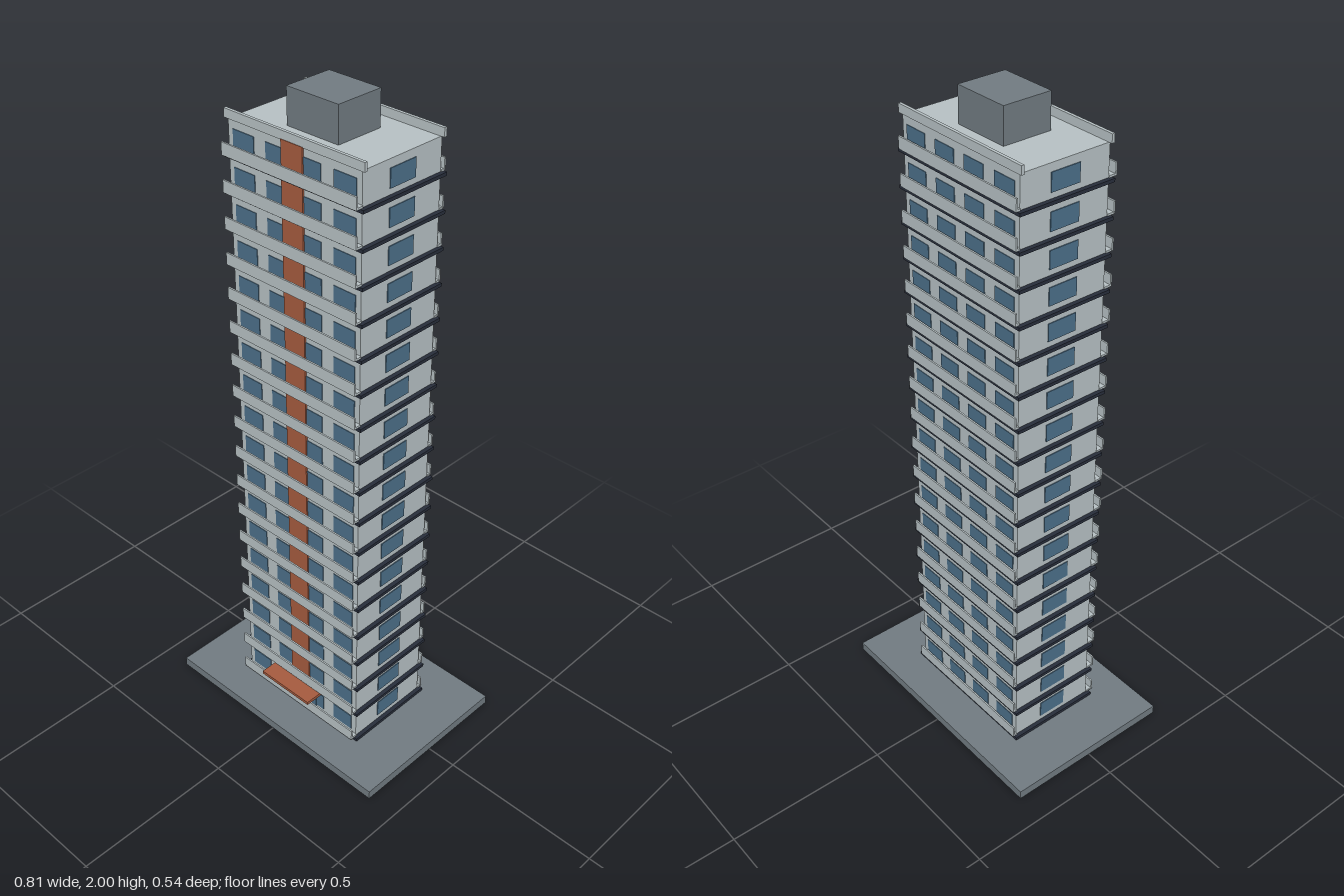
import * as THREE from 'three';

const paint = (name, color) => {
  const m = new THREE.MeshStandardMaterial({ color });
  m.name = name;
  return m;
};

export function createModel() {
  const wall = paint('pale concrete', 0xb5bfc2);
  const stone = paint('slate grey', 0x707a80);
  const dark = paint('dark band', 0x272d3a);
  const glass = paint('blue glass', 0x4b6e88);
  const rust = paint('rust orange', 0xa45a3e);

  const tower = new THREE.Group();
  tower.name = 'tower';

  // Box given by its minimum and maximum on each axis
  const box = (parent, name, mat, [x0, x1], [y0, y1], [z0, z1]) => {
    const mesh = new THREE.Mesh(new THREE.BoxGeometry(x1 - x0, y1 - y0, z1 - z0), mat);
    mesh.position.set((x0 + x1) / 2, (y0 + y1) / 2, (z0 + z1) / 2);
    mesh.name = name;
    parent.add(mesh);
    return mesh;
  };
  const span = (centre, size) => [centre - size / 2, centre + size / 2];

  const floors = 18, ground = 0.028, roof = 1.897;
  const storey = (roof - ground) / floors;
  const halfW = 0.23, halfD = 0.142;

  // Plinth, main block and roof house
  box(tower, 'plinth', stone, [-0.406, 0.406], [0, ground], [-0.271, 0.271]);
  box(tower, 'mainBlock', wall, [-halfW, halfW], [ground, roof], [-halfD, halfD]);
  box(tower, 'roofHouse', stone, [-0.088, 0.088], [roof, 2], [-0.075, 0.075]);

  // One storey: dark band, balconies front and back, windows all round
  for (let i = 0; i < floors; i++) {
    const y = ground + i * storey;
    const floor = new THREE.Group();
    floor.name = `storey${i + 1}`;
    tower.add(floor);

    box(floor, 'floorBand', dark, [-0.243, 0.243], [y, y + 0.01], [-0.152, 0.152]);

    for (const side of [1, -1]) {
      const outer = side > 0 ? 0.166 : 0.156;
      const along = (a, b) => (side > 0 ? [a, b] : [-b, -a]);
      box(floor, 'balconyFloor', wall, [-0.233, 0.233], [y + 0.01, y + 0.016], along(halfD, outer));
      box(floor, 'balconyRail', wall, [-0.234, 0.234], [y + 0.012, y + 0.046], along(outer - 0.005, outer));
      for (const x of [-0.175, -0.058, 0.058, 0.175]) {
        box(floor, 'window', glass, span(x, 0.075), [y + 0.027, y + 0.08], along(halfD - 0.001, halfD + 0.002));
      }
      box(floor, 'endWindow', glass, span(side * (halfW + 0.0005), 0.004), [y + 0.027, y + 0.08], [-0.046, 0.046]);
    }
  }

  // Parapets along the front and back roof edges
  for (const side of [1, -1]) {
    box(tower, 'parapet', wall, [-0.241, 0.241], [roof, 1.922], span(side * 0.142, 0.009));
  }

  // Vertical accent strip, entrance and canopy
  box(tower, 'accentStrip', rust, [-0.037, 0.037], [0.07, roof + 0.002], [halfD, 0.148]);
  box(tower, 'entranceGlass', glass, [-0.064, 0.064], [ground, 0.122], [halfD, 0.146]);
  box(tower, 'canopy', rust, [-0.098, 0.098], [0.128, 0.138], [halfD, 0.216]);

  return tower;
}
